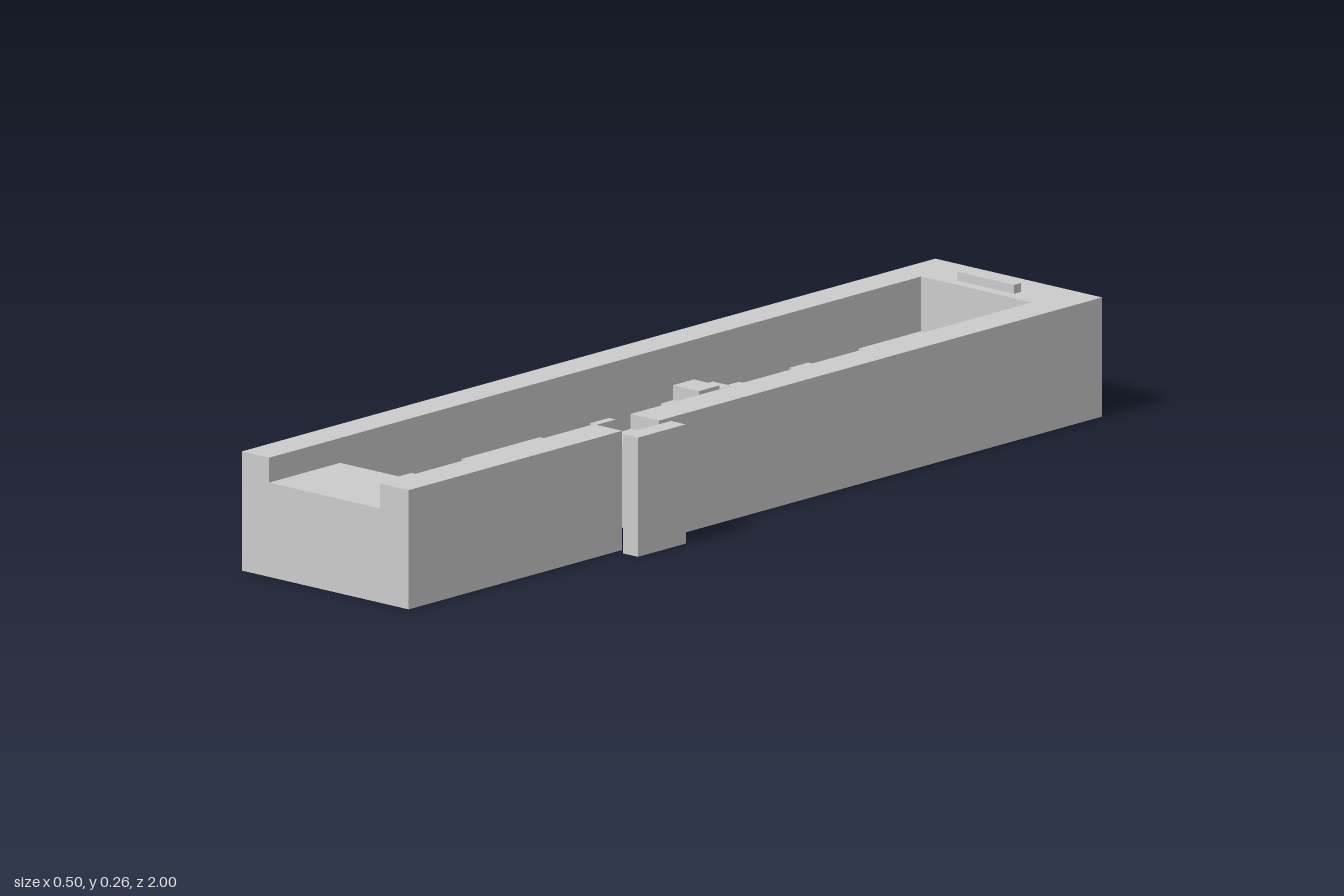
import * as THREE from 'three';

export function createModel() {
  const group = new THREE.Group();
  const mat = new THREE.MeshStandardMaterial({ color: 0xcccccc, flatShading: true });

  const add = (name, geo) => {
    const mesh = new THREE.Mesh(geo, mat);
    mesh.name = name;
    group.add(mesh);
    return mesh;
  };
  // Box given by its extents on each axis
  const box = (name, x0, x1, y0, y1, z0, z1) => {
    const geo = new THREE.BoxGeometry(x1 - x0, y1 - y0, z1 - z0);
    geo.translate((x0 + x1) / 2, (y0 + y1) / 2, (z0 + z1) / 2);
    return add(name, geo);
  };

  const H = 0.24; // wall height
  const L = -0.178, R = 0.115; // inner wall faces
  const slot0 = 0.278, slot1 = 0.384; // side slot along z

  // Long wall, back wall and side wall up to the slot, as one plan outline
  const plan = [
    [-0.25, 1], [-0.25, -1], [0.19, -1], [0.19, slot0],
    [R, slot0], [R, -0.88], [L, -0.88], [L, 1],
  ].map(([x, z]) => new THREE.Vector2(x, -z));
  const walls = new THREE.ExtrudeGeometry(new THREE.Shape(plan), { depth: H, bevelEnabled: false });
  walls.rotateX(-Math.PI / 2);
  add('walls', walls);
  box('frontSideWall', R, 0.19, 0, H, slot1, 1);
  box('frontSill', L, R, 0, 0.19, 0.795, 1);

  // Thin raised floor, open beneath
  box('floor', L, R, 0.043, 0.05, -0.757, 0.785);

  // Raised panels on the two inner walls
  const panelTop = 0.13, t = 0.018;
  const rightPanels = [[-0.88, -0.70], [-0.555, -0.5], [-0.355, -0.13], [0.02, 0.075], [0.22, 0.445], [0.59, 0.795]];
  const leftPanels = [[-0.88, -0.70], [-0.555, -0.5], [-0.355, -0.31], [-0.17, 0.075], [0.22, 0.26], [0.4, 0.795]];
  for (const [a, b] of rightPanels) box('rightWallPanel', L, L + t, 0, panelTop, a, b);
  for (const [a, b] of leftPanels) box('leftWallPanel', R - t, R, 0, panelTop, a, b);

  // Two blocks standing out from the middle panel
  box('smallBlock', L, -0.13, 0, 0.145, -0.28, -0.245);
  box('largeBlock', L, -0.11, 0, 0.16, -0.225, -0.165);

  // Steps rising towards the back
  for (let i = 0; i < 3; i++) {
    const z = -0.77 - i * 0.025;
    box('step', L + t, R - t, 0.043, 0.06 + i * 0.012, z - 0.025, z);
  }

  // Side slider: neck through the slot and an outer plate
  box('sliderNeck', R, 0.21, 0.045, 0.21, slot0, slot1);
  box('sliderPlate', 0.209, 0.248, 0, H, 0.264, 0.402);

  // Narrow rib on the back rim
  box('backRib', -0.105, 0.045, H, 0.258, -0.925, -0.905);

  return group;
}
